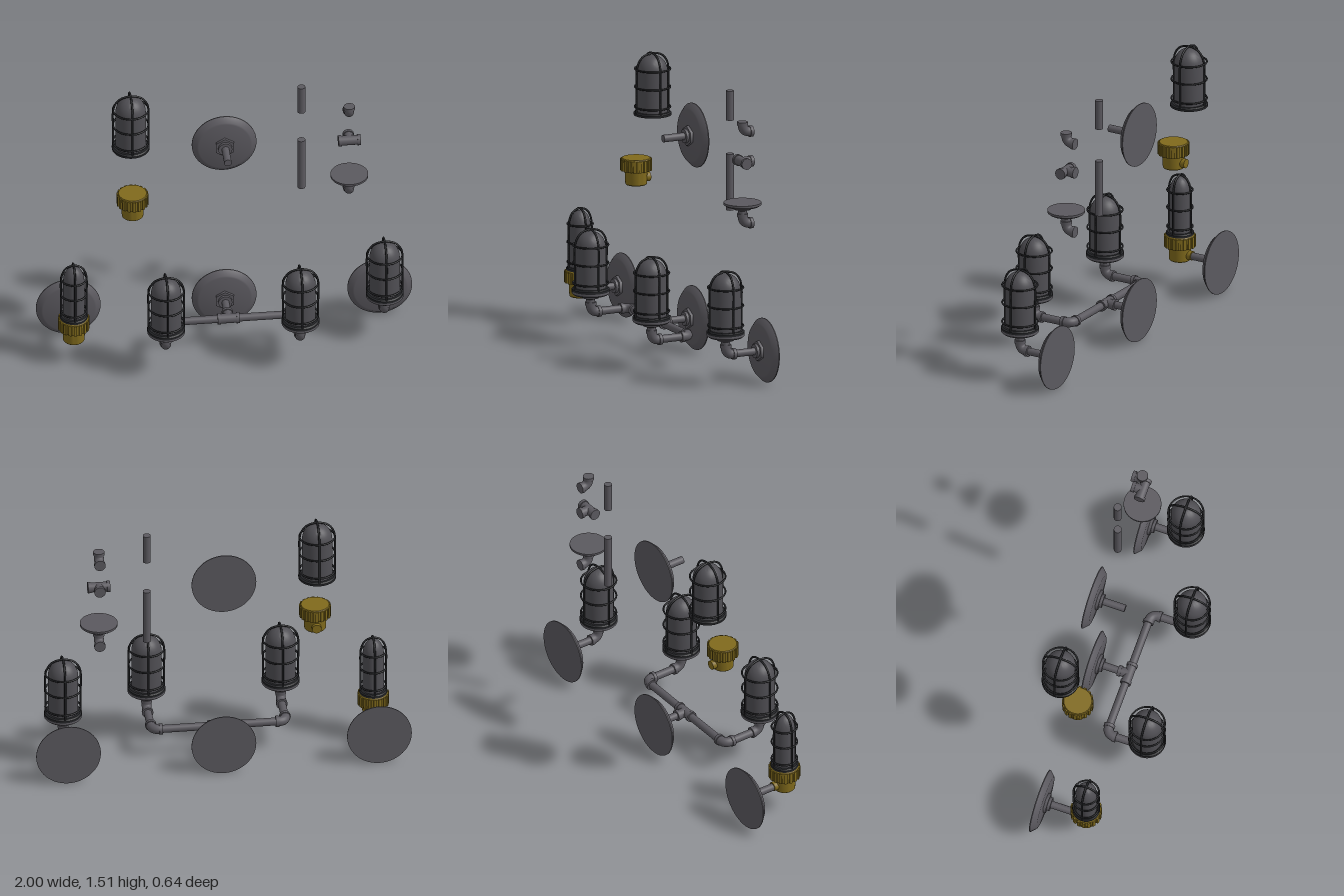
import * as THREE from 'three';
import { toCreasedNormals } from 'three/addons/utils/BufferGeometryUtils.js';

const material = (name, color) => {
  const m = new THREE.MeshStandardMaterial({ color });
  m.name = name;
  return m;
};
const iron = material('grey iron', 0x5b595f);
const glassMat = material('smoked glass', 0x4f4e53);
const black = material('black wire', 0x242528);
const brass = material('aged brass', 0x806a1c);

const V = (x, y, z) => new THREE.Vector3(x, y, z);
const X = V(1, 0, 0), Y = V(0, 1, 0), Z = V(0, 0, 1);
const at = (p, dir, d) => p.clone().addScaledVector(dir, d);

function add(parent, name, geometry, mat) {
  const m = new THREE.Mesh(geometry, mat);
  m.name = name;
  parent.add(m);
  return m;
}
function group(parent, name, x = 0, y = 0, z = 0) {
  const g = new THREE.Group();
  g.name = name;
  g.position.set(x, y, z);
  parent.add(g);
  return g;
}
function lathe(points, segments = 40) {
  const g = new THREE.LatheGeometry(points.map(p => new THREE.Vector2(p[0], p[1])), segments);
  return toCreasedNormals(g, 0.5);
}
// Straight round bar between two points
function rod(parent, name, a, b, r, mat = iron, sides = 24) {
  const m = add(parent, name, new THREE.CylinderGeometry(r, r, a.distanceTo(b), sides), mat);
  m.position.copy(a).add(b).multiplyScalar(0.5);
  m.quaternion.setFromUnitVectors(Y, b.clone().sub(a).normalize());
  return m;
}

// Ninety-degree fitting with a collar on each end
function elbow(parent, corner, dirA, dirB) {
  const g = group(parent, 'elbow');
  const path = new THREE.QuadraticBezierCurve3(at(corner, dirA, 0.045), corner, at(corner, dirB, 0.045));
  add(g, 'elbowBend', new THREE.TubeGeometry(path, 14, 0.026, 20), iron);
  for (const d of [dirA, dirB]) rod(g, 'elbowCollar', at(corner, d, 0.038), at(corner, d, 0.056), 0.03);
}

// Three-way fitting along x with the branch towards the wall
function tee(parent, c) {
  const g = group(parent, 'tee');
  rod(g, 'teeBody', at(c, X, -0.05), at(c, X, 0.05), 0.026);
  for (const s of [-1, 1]) rod(g, 'teeCollar', at(c, X, s * 0.042), at(c, X, s * 0.059), 0.03);
  rod(g, 'teeBranch', c, at(c, Z, -0.05), 0.026);
  rod(g, 'branchCollar', at(c, Z, -0.042), at(c, Z, -0.06), 0.03);
}

// Round wall plate with hex nut; the pipe reaches out to zEnd
function wallPlate(parent, x, y, zEnd) {
  const back = -0.217;
  const g = group(parent, 'wallPlate', x, y, back);
  const dish = add(g, 'plateDish', lathe([[0, 0], [0.172, 0], [0.172, 0.005], [0.147, 0.03], [0.138, 0.033], [0, 0.035]], 56), iron);
  dish.rotation.x = Math.PI / 2;
  rod(g, 'plateNut', V(0, 0, 0.03), V(0, 0, 0.05), 0.055, iron, 6);
  rod(g, 'plateCollar', V(0, 0, 0.05), V(0, 0, 0.065), 0.037);
  rod(g, 'platePipe', V(0, 0, 0.06), V(0, 0, zEnd - back), 0.02);
  return g;
}

// Glass jar inside a wire guard, base at the group's origin
function lamp(parent, x, y, z, r = 0.1, glassR = 0.08) {
  const g = group(parent, 'cagedLamp', x, y, z);
  const profile = [[0, 0.005], [glassR, 0.005], [glassR, 0.235]];
  for (let i = 1; i <= 10; i++) {
    const a = i / 10 * Math.PI / 2;
    profile.push([i === 10 ? 0 : glassR * Math.cos(a), 0.235 + 0.088 * Math.sin(a)]);
  }
  add(g, 'glassJar', lathe(profile), glassMat);
  add(g, 'guardBase', lathe([[0, 0], [r, 0], [r, 0.012], [r * 0.92, 0.018], [0, 0.018]]), black);
  const wire = r - 0.006;
  for (const h of [0.043, 0.151, 0.249]) {
    const ring = add(g, 'guardRing', new THREE.TorusGeometry(wire, 0.005, 8, 40), black);
    ring.rotation.x = Math.PI / 2;
    ring.position.y = h;
  }
  // Two crossing arches make the four upright wires
  const half = [[1, 0.01], [1, 0.13], [1, 0.245], [0.9, 0.283], [0.6, 0.318]];
  const points = [...half.map(p => V(-p[0] * wire, p[1], 0)), V(0, 0.333, 0),
    ...half.slice().reverse().map(p => V(p[0] * wire, p[1], 0))];
  for (const turn of [0, Math.PI / 2]) {
    const arch = add(g, 'guardArch', new THREE.TubeGeometry(new THREE.CatmullRomCurve3(points), 48, 0.0055, 8), black);
    arch.rotation.y = turn;
  }
  return g;
}

// Round cap that holds a lamp, with its elbow turning towards dir
function lampHolder(parent, x, top, z, dir) {
  const g = group(parent, 'lampHolder', x, top, z);
  add(g, 'holderCap', lathe([[0, -0.07], [0.024, -0.07], [0.024, -0.045], [0.045, -0.038],
    [0.055, -0.02], [0.09, -0.02], [0.1, -0.012], [0.1, 0], [0, 0]]), iron);
  elbow(g, V(0, -0.117, 0), Y, dir);
}

// Ribbed brass socket, top at the group's origin, side boss towards the wall
function brassSocket(parent, x, top, z) {
  const g = group(parent, 'brassSocket', x, top, z);
  add(g, 'socketBody', lathe([[0, -0.145], [0.053, -0.145], [0.057, -0.141], [0.06, -0.072],
    [0.076, -0.068], [0.078, -0.006], [0.074, 0], [0, 0]]), brass);
  const ribs = 18;
  for (let i = 0; i < ribs; i++) {
    const a = i / ribs * Math.PI * 2;
    const rib = add(g, 'socketRib', new THREE.BoxGeometry(0.016, 0.062, 0.012), brass);
    rib.position.set(Math.sin(a) * 0.078, -0.036, Math.cos(a) * 0.078);
    rib.rotation.y = a;
  }
  rod(g, 'socketBoss', V(0, -0.11, 0), V(0, -0.11, -0.078), 0.025, brass);
}

export function createModel() {
  const model = new THREE.Group();
  model.name = 'pipeLightSet';
  const axis = 0.18, capTop = 0.297;

  // Small brass sconce
  const small = group(model, 'brassSconce');
  wallPlate(small, -0.828, axis, -0.02);
  brassSocket(small, -0.828, 0.292, 0.043);
  lamp(small, -0.828, 0.292, 0.043, 0.074, 0.056);

  // Two-arm wall light
  const double = group(model, 'doubleWallLight');
  const barZ = -0.01, armX = 0.357, armZ = 0.218;
  wallPlate(double, 0, axis, barZ - 0.04);
  tee(double, V(0, axis, barZ));
  for (const s of [-1, 1]) {
    const corner = V(s * armX, axis, barZ);
    rod(double, 'crossPipe', V(s * 0.05, axis, barZ), V(s * (armX - 0.045), axis, barZ), 0.021);
    elbow(double, corner, V(-s, 0, 0), Z);
    rod(double, 'armPipe', at(corner, Z, 0.045), V(s * armX, axis, armZ - 0.045), 0.021);
    lampHolder(double, s * armX, capTop, armZ, V(0, 0, -1));
    lamp(double, s * armX, capTop, armZ);
  }

  // Single sconce
  const single = group(model, 'singleSconce');
  wallPlate(single, 0.827, axis, -0.03);
  lampHolder(single, 0.827, capTop, 0.017, V(0, 0, -1));
  lamp(single, 0.827, capTop, 0.017);

  // Loose parts laid out above
  const parts = group(model, 'looseParts');
  lamp(parts, -0.496, 1.177, -0.218);
  brassSocket(parts, -0.497, 0.953, -0.121);
  wallPlate(parts, 0, 1.171, -0.03);
  rod(parts, 'shortPipe', V(0.411, 1.34, -0.218), V(0.411, 1.5, -0.218), 0.021);
  rod(parts, 'longPipe', V(0.411, 0.852, -0.218), V(0.411, 1.158, -0.218), 0.021);
  elbow(parts, V(0.66, 1.333, -0.167), Y, V(0, 0, -1));
  tee(parts, V(0.66, 1.171, -0.165));
  lampHolder(parts, 0.66, 0.953, -0.167, V(0, 0, -1));
  return model;
}
